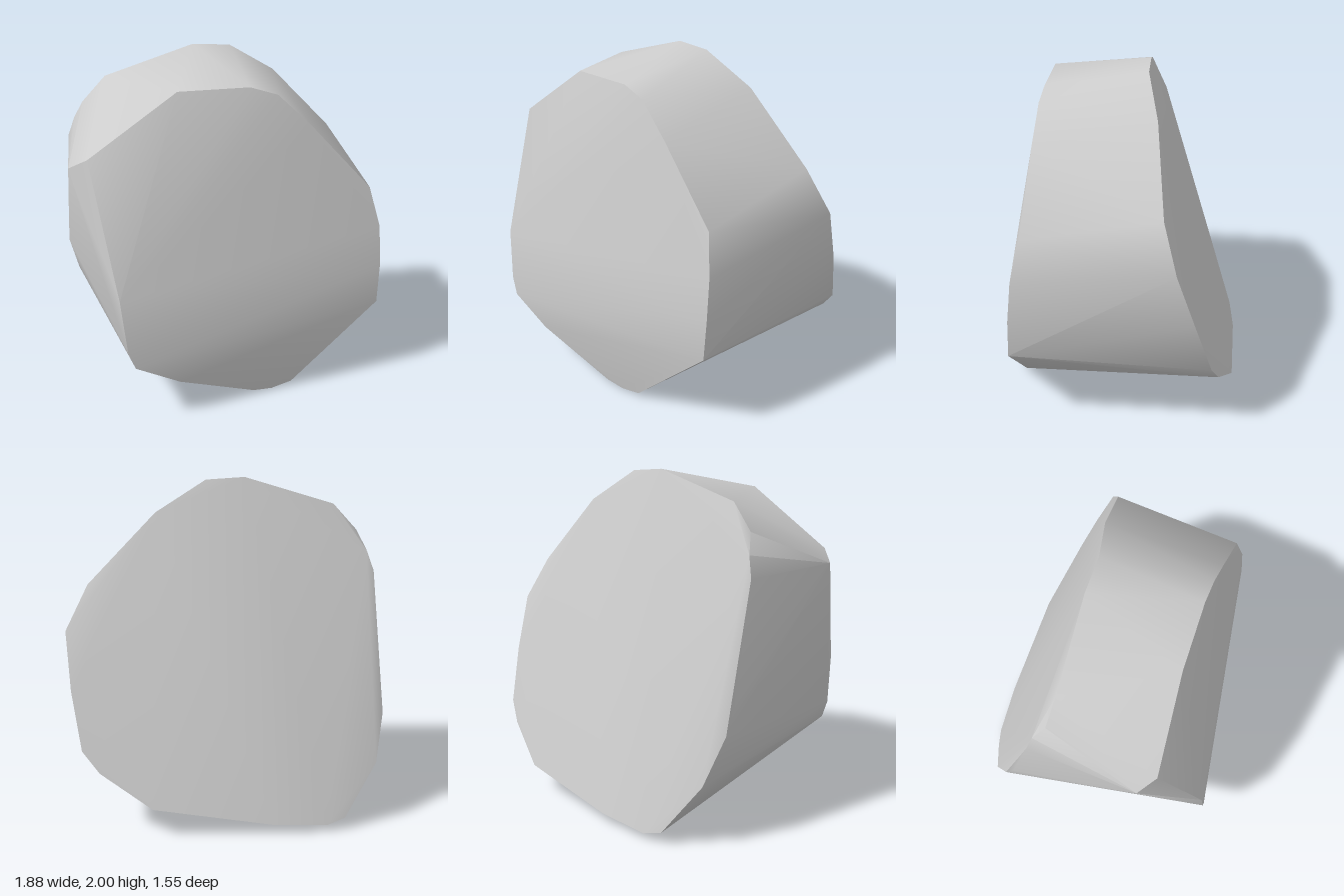
import * as THREE from 'three';
import { ConvexGeometry } from 'three/addons/geometries/ConvexGeometry.js';
import { toCreasedNormals } from 'three/addons/utils/BufferGeometryUtils.js';

// Rim of the broad front face, clockwise from the top
const frontRim = [
  [-0.33, 1.88, 0.43], [0.08, 1.88, 0.43], [0.24, 1.83, 0.44], [0.44, 1.64, 0.455],
  [0.81, 1.24, 0.48], [0.87, 1.0, 0.53], [0.88, 0.75, 0.555], [0.87, 0.51, 0.565],
  [0.33, 0.02, 0.58], [0.2, 0.0, 0.6], [0.08, 0.015, 0.62], [-0.4, 0.23, 0.74],
  [-0.66, 0.38, 0.775], [-0.7, 0.49, 0.77], [-0.73, 0.8, 0.745],
  [-0.84, 1.54, 0.465], [-0.94, 1.47, 0.38],
];

// Rim of the sloping back face, clockwise from the top
const backRim = [
  [-0.12, 2.0, -0.18], [0.11, 1.985, -0.18], [0.41, 1.8, -0.25], [0.81, 1.39, -0.31],
  [0.94, 1.13, -0.39], [0.91, 0.8, -0.5], [0.85, 0.47, -0.605], [0.75, 0.35, -0.65],
  [0.45, 0.16, -0.745], [-0.23, 0.06, -0.775], [-0.55, 0.04, -0.76], [-0.66, 0.07, -0.73],
  [-0.86, 0.36, -0.62], [-0.92, 0.63, -0.5], [-0.92, 0.78, -0.43],
  [-0.89, 1.45, -0.28], [-0.85, 1.57, -0.25], [-0.8, 1.685, -0.18], [-0.66, 1.84, -0.16],
];

export function createModel() {
  const group = new THREE.Group();
  group.name = 'boulder';

  const stone = new THREE.MeshStandardMaterial({ color: 0xcccccc });
  stone.name = 'light grey stone';

  // One solid stone stretched between the two rims, smooth except at hard edges
  const points = [...frontRim, ...backRim].map((p) => new THREE.Vector3(...p));
  const rock = new THREE.Mesh(toCreasedNormals(new ConvexGeometry(points), 0.65), stone);
  rock.name = 'rock';
  group.add(rock);
  return group;
}
